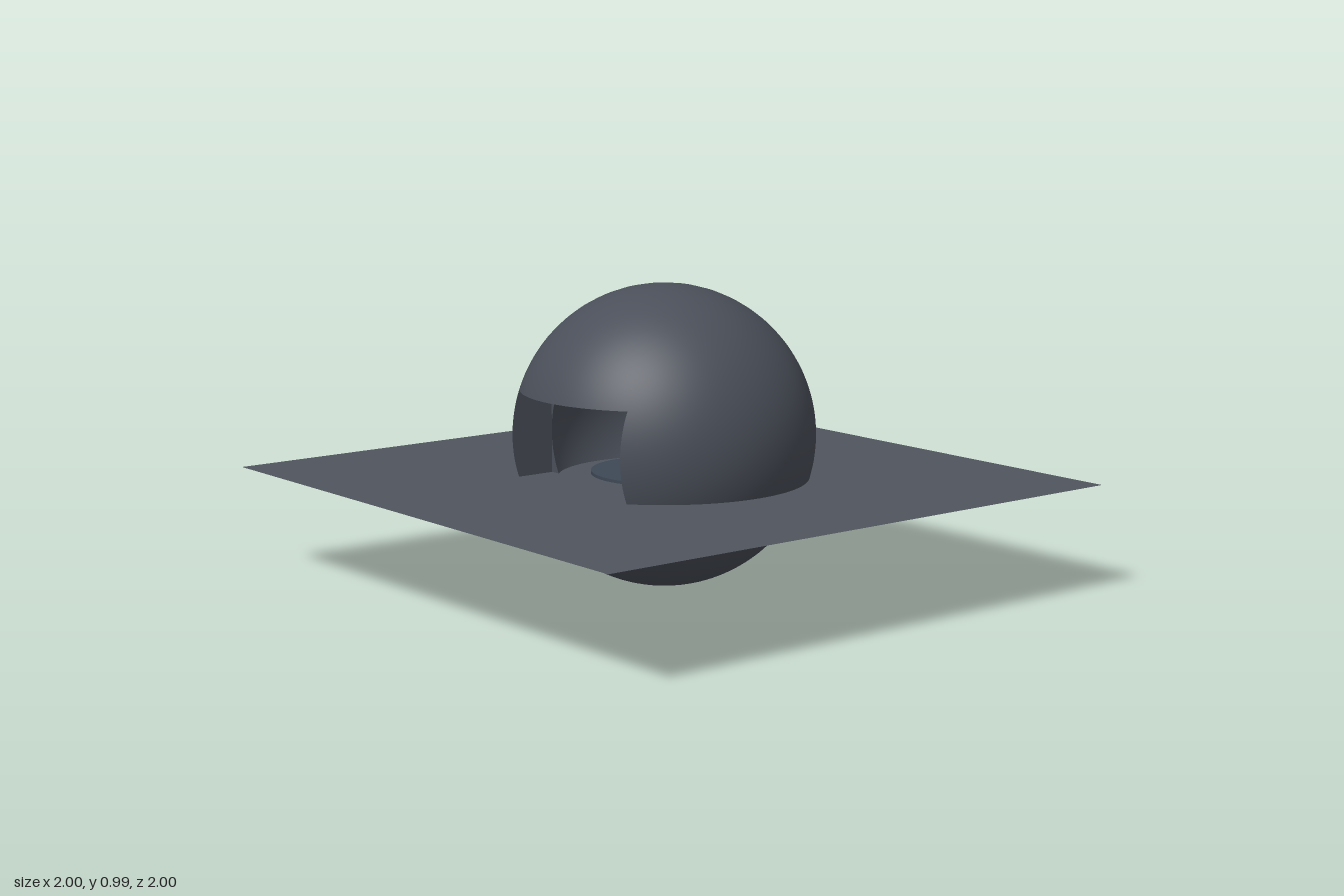
import * as THREE from 'three';

const CY = 0.494, R_OUT = 0.494, R_IN = 0.376, BACK_Z = 0.245;
const WIN = { x: 0.285, y0: 0.22 - CY, y1: 0.645 - CY };

function material(color, flat = false) {
  return new THREE.MeshStandardMaterial({ color, flatShading: flat, side: THREE.DoubleSide });
}

// Skin closed rings of points; flip turns the faces outward
function loft(rings, flip) {
  const n = rings[0].length, index = [];
  for (let i = 0; i < rings.length - 1; i++) {
    for (let j = 0; j < n; j++) {
      const a = i * n + j, b = i * n + (j + 1) % n, c = a + n, d = b + n;
      if (flip) index.push(a, c, b, b, c, d);
      else index.push(a, b, c, b, d, c);
    }
  }
  const g = new THREE.BufferGeometry().setFromPoints(rings.flat());
  g.setIndex(index);
  g.computeVertexNormals();
  return g;
}

// Window outline, counterclockwise, relative to the sphere centre
function windowOutline(steps = 32) {
  const { x, y0, y1 } = WIN;
  const corners = [[x, y0], [x, y1], [-x, y1], [-x, y0]].map(c => new THREE.Vector2(...c));
  return corners.flatMap((c, k) =>
    Array.from({ length: steps }, (_, i) => c.clone().lerp(corners[(k + 1) % 4], i / steps)));
}

// Rings running over a sphere from an edge loop to its back pole
function sphereRings(edge, radius, steps = 48) {
  const rings = [];
  for (let i = 0; i <= steps; i++) {
    rings.push(edge.map(p => {
      const start = Math.acos(p.z / radius), az = Math.atan2(p.y, p.x);
      const polar = THREE.MathUtils.lerp(start, Math.PI, i / steps);
      return new THREE.Vector3(
        radius * Math.sin(polar) * Math.cos(az),
        radius * Math.sin(polar) * Math.sin(az),
        radius * Math.cos(polar));
    }));
  }
  return rings;
}

function sphereSkin(edge, radius, outward) {
  const g = loft(sphereRings(edge, radius), outward);
  const p = g.attributes.position, v = new THREE.Vector3();
  for (let i = 0; i < p.count; i++) {
    v.fromBufferAttribute(p, i).normalize().multiplyScalar(outward ? 1 : -1);
    g.attributes.normal.setXYZ(i, v.x, v.y, v.z);
  }
  return g;
}

export function createModel() {
  const model = new THREE.Group();
  const shellMat = material(0x4a4f59);
  const gold = material(0xa07e4a), dark = material(0x2a2520);

  function add(name, geometry, mat, x = 0, y = 0, z = 0, parent = model) {
    const mesh = new THREE.Mesh(geometry, mat);
    mesh.name = name;
    mesh.position.set(x, y, z);
    parent.add(mesh);
    return mesh;
  }

  // Ground sheet
  add('ground', new THREE.PlaneGeometry(2, 2).rotateX(-Math.PI / 2), material(0x50555e), 0, 0.355, 0);

  // Thick spherical shell with a rectangular window
  const outline = windowOutline();
  const rim = Math.sqrt(R_IN ** 2 - BACK_Z ** 2);
  const outerEdge = outline.map(p =>
    new THREE.Vector3(p.x, p.y, Math.sqrt(R_OUT ** 2 - p.lengthSq())));
  const cavityEdge = outline.map(p => {
    const q = p.clone().clampLength(0, rim);
    return new THREE.Vector3(q.x, q.y, Math.sqrt(R_IN ** 2 - q.lengthSq()));
  });
  const recessEdge = outline.map((p, i) => new THREE.Vector3(p.x, p.y, cavityEdge[i].z));

  const shell = new THREE.Group();
  shell.name = 'shell';
  shell.position.y = CY;
  model.add(shell);
  add('outerShell', sphereSkin(outerEdge, R_OUT, true), shellMat, 0, 0, 0, shell);
  add('innerShell', sphereSkin(cavityEdge, R_IN, false), shellMat, 0, 0, 0, shell);
  add('windowFrame', loft([outerEdge, recessEdge, cavityEdge], false), material(0x4a4f59, true), 0, 0, 0, shell);

  // Round floor and gold platform
  add('floorDisc', new THREE.CylinderGeometry(0.24, 0.24, 0.01, 64), material(0x3e4856), 0, 0.372, 0);
  add('platform', new THREE.CylinderGeometry(0.096, 0.096, 0.014, 48), gold, 0, 0.407, 0);

  // Central gold block with its fittings
  const core = new THREE.Group();
  core.name = 'core';
  core.position.y = 0.425;
  model.add(core);
  add('block', new THREE.BoxGeometry(0.124, 0.22, 0.124), gold, 0, 0, 0, core);
  add('dialRing', new THREE.TorusGeometry(0.032, 0.005, 10, 32), dark, 0, 0.062, 0.064, core);
  add('dialHub', new THREE.SphereGeometry(0.014, 20, 12), dark, 0, 0.062, 0.066, core);
  add('stem', new THREE.CylinderGeometry(0.004, 0.004, 0.11, 12), dark, 0, 0, 0.066, core);
  for (const x of [-0.045, 0.045]) {
    for (const y of [-0.09, 0.09]) {
      add('stud', new THREE.SphereGeometry(0.006, 12, 8), dark, x, y, 0.063, core);
    }
  }
  return model;
}
